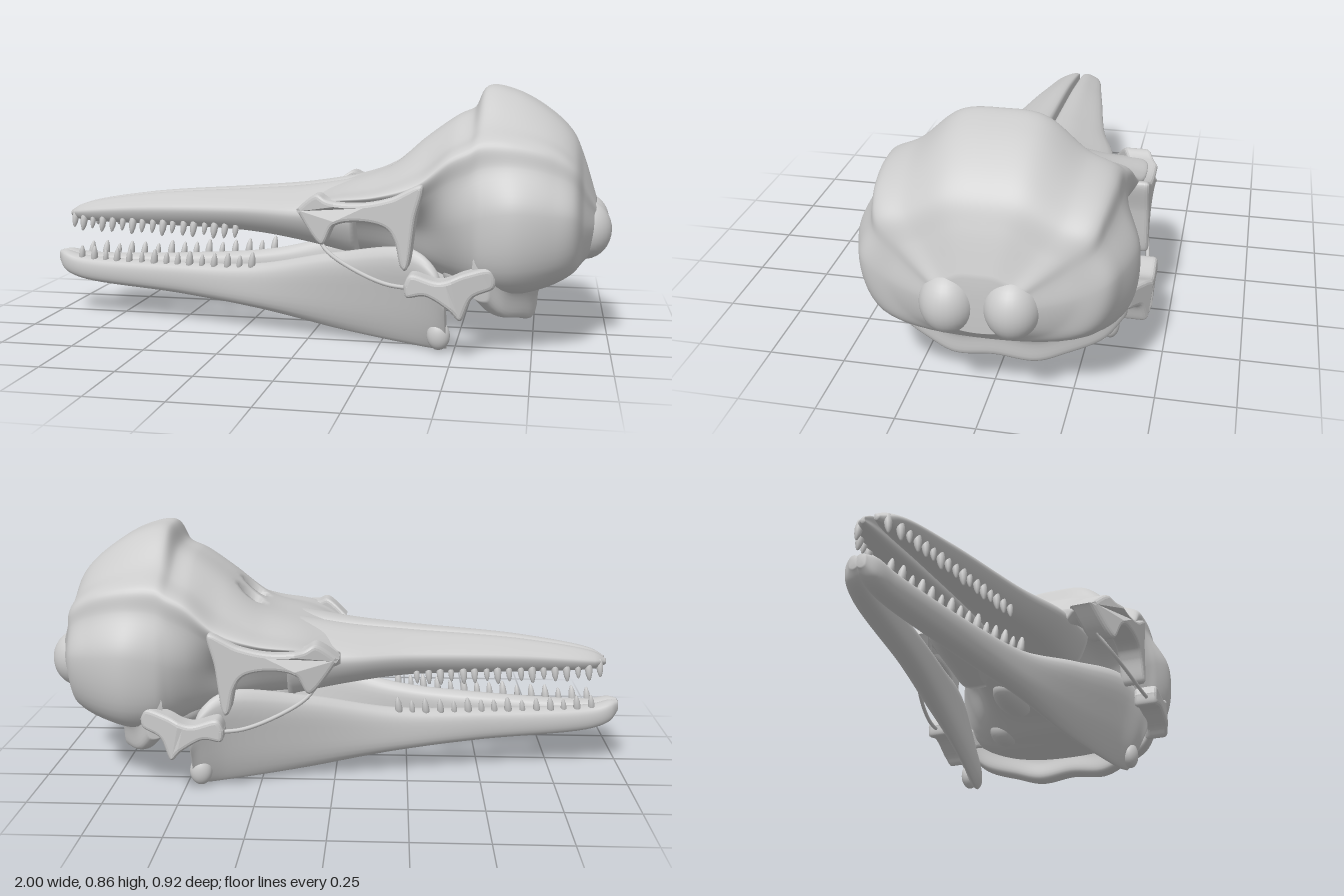
import * as THREE from 'three';

const bone = new THREE.MeshStandardMaterial({ color: 0xcccccc, side: THREE.DoubleSide });
const V = (x, y, z) => new THREE.Vector3(x, y, z);
const mix = THREE.MathUtils.lerp;

// Smooth closed skin through rings of points, capped at both ends.
function loft(rings, along, around) {
  const rails = rings[0].map((_, j) => new THREE.CatmullRomCurve3(rings.map(r => r[j])));
  const pos = [], index = [];
  const id = (i, j) => i * around + (j % around);
  for (let i = 0; i <= along; i++) {
    const ring = new THREE.CatmullRomCurve3(rails.map(r => r.getPoint(i / along)), true);
    for (let j = 0; j < around; j++) pos.push(...ring.getPoint(j / around).toArray());
  }
  for (let i = 0; i < along; i++) for (let j = 0; j < around; j++)
    index.push(id(i, j), id(i, j + 1), id(i + 1, j), id(i, j + 1), id(i + 1, j + 1), id(i + 1, j));
  for (const [k, end] of [[0, false], [along, true]]) {
    const c = V(0, 0, 0), n = pos.length / 3;
    for (let j = 0; j < around; j++) c.add(V(...pos.slice(id(k, j) * 3, id(k, j) * 3 + 3)));
    pos.push(...c.divideScalar(around).toArray());
    for (let j = 0; j < around; j++)
      index.push(n, end ? id(k, j) : id(k, j + 1), end ? id(k, j + 1) : id(k, j));
  }
  const g = new THREE.BufferGeometry();
  g.setAttribute('position', new THREE.Float32BufferAttribute(pos, 3));
  g.setIndex(index);
  g.computeVertexNormals();
  return g;
}

// Rounded plate cut from a side outline, between two depths.
function plate(points, z0, z1, bend) {
  const b = 0.014;
  const shape = new THREE.Shape();
  shape.moveTo(...points[0]);
  shape.splineThru([...points.slice(1), points[0]].map(p => new THREE.Vector2(...p)));
  const g = new THREE.ExtrudeGeometry(shape, { depth: z1 - z0 - 2 * b, bevelThickness: b,
    bevelSize: b, bevelOffset: -b, bevelSegments: 3, curveSegments: 36 });
  const p = g.attributes.position;
  for (let i = 0; i < p.count; i++) p.setZ(i, p.getZ(i) + z0 + b + bend(p.getX(i)));
  g.computeVertexNormals();
  return g;
}

export function createModel() {
  const model = new THREE.Group();
  const add = (name, geometry, parent = model) => {
    const m = new THREE.Mesh(geometry, bone);
    m.name = name;
    parent.add(m);
    return m;
  };
  const half = new THREE.Group();
  half.name = 'frontSide';
  const ball = (name, at, size) => {
    const m = add(name, new THREE.SphereGeometry(1, 28, 18), half);
    m.position.set(...at);
    m.scale.set(...size);
  };

  // Braincase and face: x, top y, crest y and z, side y and z, base y and z
  const sections = [
    [-0.02, .49, .45, .27, .36, .20, .34, .10],
    [0.10, .53, .50, .38, .42, .24, .28, .14],
    [0.25, .585, .52, .40, .42, .25, .26, .16],
    [0.38, .69, .56, .39, .40, .27, .24, .20],
    [0.48, .76, .64, .375, .42, .35, .20, .26],
    [0.54, .79, .67, .365, .44, .39, .19, .32],
    [0.58, .86, .69, .355, .46, .41, .18, .36],
    [0.68, .845, .69, .35, .48, .43, .17, .38],
    [0.80, .775, .66, .335, .47, .40, .20, .34],
    [0.87, .705, .61, .31, .46, .365, .24, .30],
    [0.905, .63, .54, .23, .42, .27, .27, .20],
    [0.95, .49, .46, .13, .40, .14, .31, .10],
  ];
  const cranium = loft(sections.map(([x, top, cy, cz, sy, sz, base, bz]) => {
    const side = [
      [mix(top, cy, 0.08), cz * 0.36], [mix(top, cy, 0.68), cz * 0.72], [cy, cz],
      [mix(cy, sy, 0.35), mix(cz, sz, 0.25)], [sy, sz], [mix(base, sy, 0.25), bz],
    ];
    return [V(x, top, 0), ...side.map(([y, z]) => V(x, y, z)),
      V(x, base, 0), ...side.reverse().map(([y, z]) => V(x, y, -z))];
  }), 110, 112);
  // Sink the paired nostrils
  const cp = cranium.attributes.position;
  for (let i = 0; i < cp.count; i++) {
    const x = cp.getX(i), y = cp.getY(i), z = Math.abs(cp.getZ(i));
    if (y > 0.5) {
      const r = ((x - 0.3) / 0.032) ** 2 + ((z - 0.06) / 0.03) ** 2;
      cp.setY(i, y - 0.1 * Math.exp(-r * r));
    }
  }
  cranium.computeVertexNormals();
  add('cranium', cranium);

  // Flared wall under the back of the skull: z, x, y along its lower edge
  const edge = [[.39, .57, .2], [.33, .62, .14], [.22, .68, .11], [.13, .71, .09]];
  const rim = [...edge.map(([z, x, y]) => [-z, x, y]), [0, .72, .105], ...edge.slice().reverse()];
  add('occipitalFlange', loft(rim.map(([z, x, y]) => [
    V(x + 0.14, 0.34, z), V(x, 0.34, z), V(x - 0.01, y + 0.08, z),
    V(x - 0.01, y + 0.01, z), V(x + 0.035, y, z), V(x + 0.05, y + 0.08, z),
  ]), 56, 36));

  // Beak halves, a narrow slit between them: x, outer z, top y, bottom y
  const beak = [
    [-.945, .03, .39, .37], [-.9, .07, .415, .362], [-.65, .12, .46, .36],
    [-.25, .19, .492, .358], [-.05, .25, .51, .34], [.16, .27, .545, .30],
  ];
  add('beak', loft(beak.map(([x, w, t, b]) => {
    const h = t - b, s = x < -0.92 ? 0.016 : 0.011;
    return [V(x, t - h * 0.06, s), V(x, t, s + (w - s) * 0.25), V(x, t - h * 0.1, s + (w - s) * 0.55),
      V(x, t - h * 0.4, w), V(x, b + h * 0.3, w * 0.96), V(x, b, w * 0.75),
      V(x, b, s + (w - s) * 0.3), V(x, b + h * 0.15, s), V(x, b + h * 0.5, s)];
  }), 60, 40), half);

  // Brow over the eye, with its front and rear prongs
  add('orbitRim', plate([
    [-.02, .465], [.05, .52], [.1, .505], [.2, .50], [.3, .52], [.4, .56], [.38, .45],
    [.36, .305], [.335, .30], [.315, .38], [.28, .425], [.2, .44], [.12, .425], [.07, .36],
  ], 0.335, 0.425, x => -0.5 * Math.max(0, 0.12 - x)), half);

  // Cheek prong and the thin cheek bone leading to it
  add('cheekProng', plate([
    [.35, .25], [.375, .285], [.46, .265], [.54, .29], [.62, .30], [.63, .24],
    [.565, .21], [.53, .14], [.49, .175], [.42, .215], [.36, .21],
  ], 0.375, 0.46, x => -0.45 * Math.max(0, x - 0.5)), half);
  add('cheekBone', new THREE.TubeGeometry(new THREE.CatmullRomCurve3([
    V(.05, .38, .34), V(.09, .335, .37), V(.18, .285, .40), V(.29, .245, .42), V(.38, .235, .425),
  ]), 32, 0.007, 8), half);

  // Neck joints, rear bulges, palate and ear bones
  ball('neckJoint', [.91, .39, .095], [.09, .10, .085]);
  ball('rearBulge', [.80, .47, .12], [.12, .17, .13]);
  ball('palateBone', [.27, .28, .065], [.13, .06, .06]);
  ball('earBone', [.52, .25, .2], [.07, .06, .06]);

  // Lower jaw: x, middle z, half thickness, top y, bottom y
  const jaw = [
    [-.998, .012, .014, .235, .195], [-.97, .022, .032, .238, .162], [-.9, .034, .04, .224, .137],
    [-.5, .095, .043, .225, .11], [-.2, .155, .04, .243, .083], [.1, .225, .034, .31, .037],
    [.36, .3, .032, .345, .012], [.44, .325, .036, .29, .008], [.475, .335, .025, .2, .012],
  ];
  add('lowerJaw', loft(jaw.map(([x, z, t, top, b]) => {
    const h = top - b, k = 0.05 * Math.max(0, x + 0.2);
    return [V(x, top, z + k), V(x, top - h * 0.12, z + k + t * 0.8), V(x, top - h * 0.5, z + t),
      V(x, b + h * 0.12, z - k + t * 0.75), V(x, b, z - k), V(x, b + h * 0.12, z - k - t * 0.75),
      V(x, top - h * 0.5, z - t), V(x, top - h * 0.12, z + k - t * 0.8)];
  }), 70, 32), half);
  ball('jawJoint', [.45, .06, .322], [.038, .048, .03]);

  // Teeth: pegs with a slight lean, spaced along each jaw
  const peg = new THREE.LatheGeometry([[0, -.02], [.010, -.02], [.0135, .008], [.011, .03], [.005, .048], [0, .052]]
    .map(p => new THREE.Vector2(...p)), 10);
  const track = points => {
    const c = new THREE.CatmullRomCurve3(points);
    return x => {
      let t = 0;
      while (t < 1 && c.getPoint(t).x < x) t += 0.002;
      return c.getPoint(t);
    };
  };
  const upper = track(beak.map(([x, w, , b]) => V(x, b + 0.012, w * 0.83)));
  const lower = track(jaw.map(([x, z, t, top]) => V(x, top - 0.006, z + t * 0.35)));
  const teeth = (name, n, x0, x1, at, up) => {
    for (let i = 0; i < n; i++) {
      const m = add(name, peg, half);
      m.position.copy(at(mix(x0, x1, i / (n - 1))));
      m.rotation.set(up ? 0.12 : Math.PI - 0.12, 0, up ? -0.12 : 0.1);
      m.scale.setScalar(0.9 + 0.12 * Math.sin(i * 2.3));
    }
  };
  teeth('upperTooth', 17, -0.92, -0.28, upper, false);
  teeth('lowerTooth', 15, -0.90, -0.22, lower, true);

  // Mirror everything paired
  const other = half.clone();
  other.name = 'backSide';
  other.scale.z = -1;
  model.add(half, other);
  return model;
}
